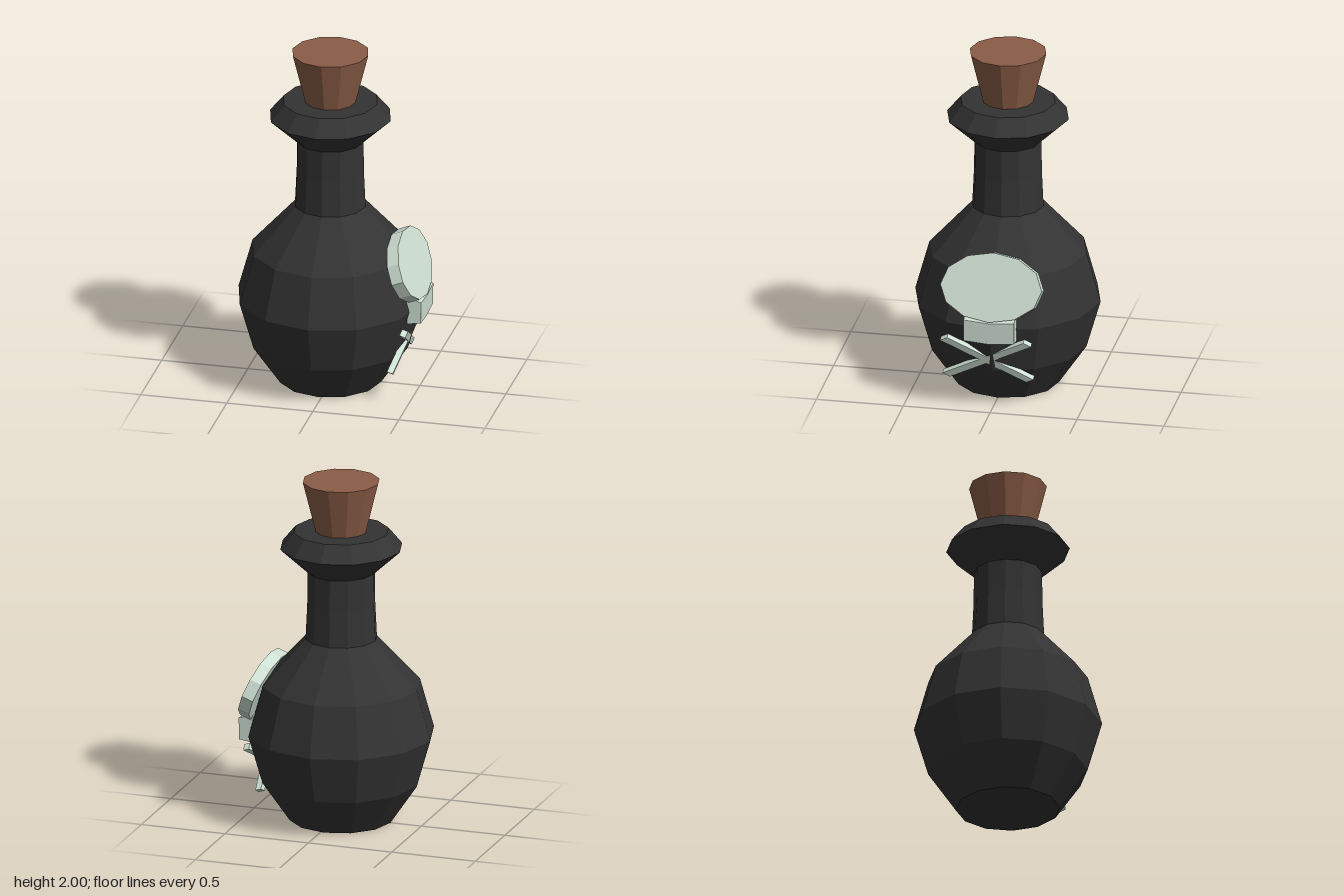
import * as THREE from 'three';

const mat = (color) => new THREE.MeshStandardMaterial({ color, flatShading: true });

function part(name, geometry, material, parent) {
  const mesh = new THREE.Mesh(geometry, material);
  mesh.name = name;
  parent.add(mesh);
  return mesh;
}

// Twelve-sided solid of revolution from [radius, y] pairs
const turned = (points) =>
  new THREE.LatheGeometry(points.map(([r, y]) => new THREE.Vector2(r, y)), 12);

// Group facing +x on the bottle's side: local x runs to -z, local y runs along (ux, uy)
function sideFrame(name, x, y, z, ux, uy) {
  const frame = new THREE.Group();
  frame.name = name;
  const up = new THREE.Vector3(ux, uy, 0).normalize();
  const right = new THREE.Vector3(0, 0, -1);
  const out = new THREE.Vector3().crossVectors(right, up);
  frame.quaternion.setFromRotationMatrix(new THREE.Matrix4().makeBasis(right, up, out));
  frame.position.set(x, y, z);
  return frame;
}

export function createModel() {
  const model = new THREE.Group();
  model.name = 'poisonBottle';
  const glass = mat(0x333333);
  const corkWood = mat(0x8a5c46);
  const bone = mat(0xcfe0d4);

  // Bottle with round belly, narrow neck and flared lip
  const bottle = turned([
    [0, 0], [0.295, 0], [0.452, 0.23], [0.533, 0.51], [0.452, 0.8], [0.205, 1.07],
    [0.195, 1.28], [0.193, 1.465], [0.35, 1.61], [0.272, 1.705], [0, 1.705],
  ]);
  part('bottle', bottle, glass, model).position.x = -0.02;

  // Tapered stopper
  const cork = turned([[0, 1.7], [0.145, 1.7], [0.22, 2], [0, 2]]);
  part('cork', cork, corkWood, model).position.x = -0.02;

  // Skull emblem: tilted oval plate
  const skull = sideFrame('skull', 0.4725, 0.755, 0, -0.145, 0.37);
  model.add(skull);
  const oval = new THREE.Shape(Array.from({ length: 12 }, (_, i) => {
    const a = (i / 12) * Math.PI * 2;
    return new THREE.Vector2(0.292 * Math.cos(a), 0.198 * Math.sin(a));
  }));
  const plate = new THREE.ExtrudeGeometry(oval, { depth: 0.07, bevelEnabled: false });
  plate.translate(0, 0, -0.07);
  part('cranium', plate, bone, skull);

  // Upright jaw below the plate, its lower edge dipping in the middle
  const side = new THREE.Shape([
    [0.458, 0.6], [0.46, 0.437], [0.54, 0.447], [0.543, 0.575],
  ].map(([x, y]) => new THREE.Vector2(x, y)));
  const jaw = new THREE.ExtrudeGeometry(side, { depth: 0.29, steps: 2, bevelEnabled: false });
  jaw.translate(0, 0, -0.145);
  const p = jaw.attributes.position;
  for (let i = 0; i < p.count; i++) {
    if (Math.abs(p.getZ(i)) < 0.01) p.setY(i, p.getY(i) - 0.012);
  }
  part('jaw', jaw, bone, model);

  // Crossed bones, squashed vertically so their ends are slanted
  const bones = sideFrame('crossedBones', 0.449, 0.3, 0.03, 0.085, 0.27);
  bones.scale.set(1, 0.55, 1);
  model.add(bones);
  for (const s of [-1, 1]) {
    const bar = part(s < 0 ? 'fallingBone' : 'risingBone',
      new THREE.BoxGeometry(0.68, 0.06, 0.035), bone, bones);
    bar.position.z = -0.0175;
    bar.rotation.z = s * Math.PI / 4;
  }

  return model;
}
